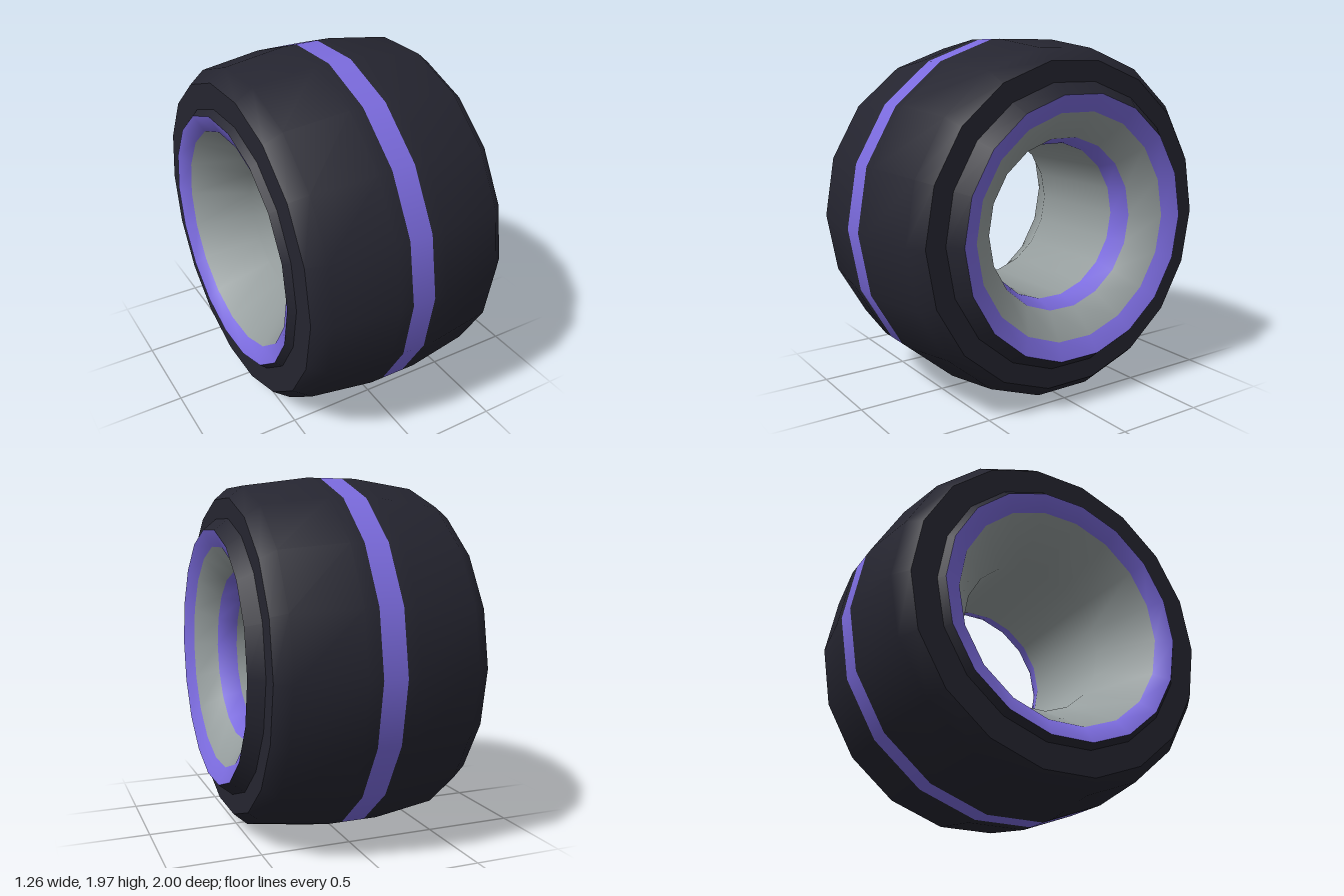
import * as THREE from 'three';

const SIDES = 18;

// Revolves [x, radius] points about the x axis; strip j of the profile gets material index colours[j].
function revolve(name, profile, materials, colours) {
  const points = profile.map(([x, r]) => new THREE.Vector2(r, x));
  const geometry = new THREE.LatheGeometry(points, SIDES);
  const source = geometry.index.array;
  const strips = profile.length - 1;
  const index = [];
  geometry.clearGroups();
  for (let j = 0; j < strips; j++) {
    geometry.addGroup(index.length, SIDES * 6, colours[j]);
    for (let i = 0; i < SIDES; i++) {
      const start = 6 * (i * strips + j);
      for (let k = 0; k < 6; k++) index.push(source[start + k]);
    }
  }
  geometry.setIndex(index);
  geometry.rotateZ(-Math.PI / 2);
  const mesh = new THREE.Mesh(geometry, materials);
  mesh.name = name;
  return mesh;
}

function material(name, color) {
  const m = new THREE.MeshStandardMaterial({ color });
  m.name = name;
  return m;
}

export function createModel() {
  const group = new THREE.Group();
  group.name = 'wheel';
  const materials = [
    material('rubber', 0x252530),
    material('purple', 0x7b6bde),
    material('rimGrey', 0x959d9d),
  ];
  const RUBBER = 0, PURPLE = 1, GREY = 2;

  // Rounded tread with the painted centre stripe
  group.add(revolve('tread', [
    [-0.60, 0.885], [-0.51, 0.95], [-0.16, 1.0], [-0.085, 1.0],
    [0.045, 1.0], [0.12, 1.0], [0.48, 0.95], [0.555, 0.885],
  ], materials, [RUBBER, RUBBER, RUBBER, PURPLE, RUBBER, RUBBER, RUBBER]));

  // Flat sidewalls and the raised beads around the rim
  group.add(revolve('leftSidewall', [[0.555, 0.885], [0.555, 0.775]], materials, [RUBBER]));
  group.add(revolve('leftBead', [[0.555, 0.775], [0.63, 0.715]], materials, [RUBBER]));
  group.add(revolve('rightSidewall', [[-0.60, 0.745], [-0.60, 0.885]], materials, [RUBBER]));
  group.add(revolve('rightBead', [[-0.635, 0.715], [-0.60, 0.745]], materials, [RUBBER]));

  // Hollow rim: lip, dish, inner ring, throat, dish and lip
  group.add(revolve('rim', [
    [0.63, 0.715], [0.585, 0.62], [0.47, 0.475], [0.36, 0.435],
    [-0.28, 0.435], [-0.59, 0.62], [-0.635, 0.715],
  ], materials, [PURPLE, GREY, PURPLE, GREY, GREY, PURPLE]));

  group.position.y = 0.985;
  const model = new THREE.Group();
  model.name = 'tyreAndRim';
  model.add(group);
  return model;
}
